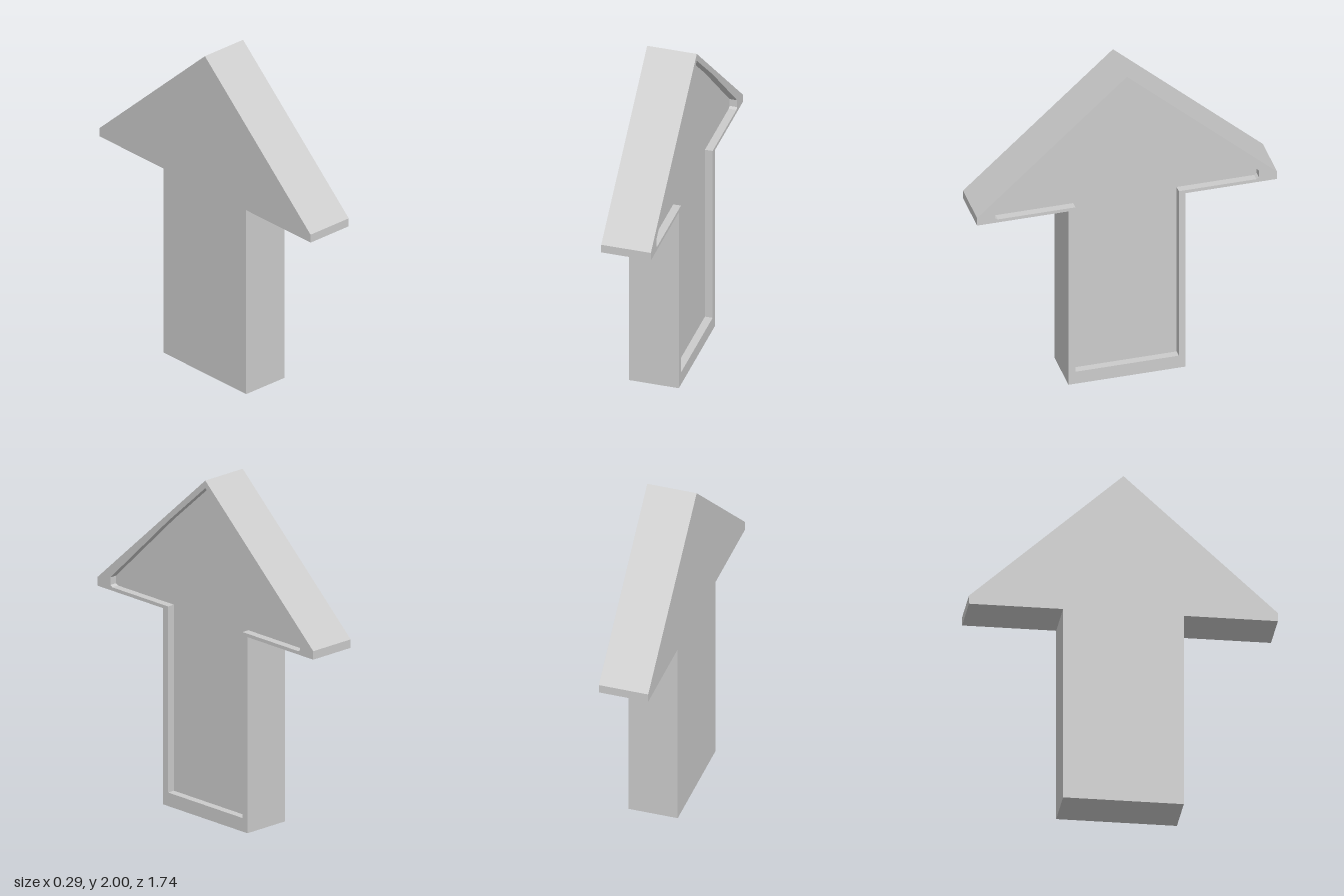
import * as THREE from 'three';

const HALF_THICKNESS = 0.145;
const RECESS_DEPTH = 0.045;

// Closed symmetric outline from its right half, listed bottom to apex
function mirrored(half) {
  const left = half.slice(0, -1).reverse().map(([x, y]) => [-x, y]);
  return [...half, ...left].map(([x, y]) => new THREE.Vector2(x, y));
}

const outline = mirrored([[0.34, 0], [0.34, 1.16], [0.87, 1.16], [0.87, 1.21], [0, 2]]);
const recess = mirrored([
  [0.3, 0.08], [0.3, 1.18], [0.75, 1.18], [0.765, 1.19], [0.765, 1.235], [0.3, 1.685], [0, 1.955],
]);

// Slab extruded along x between two planes
function slab(name, shape, x0, x1, material) {
  const geometry = new THREE.ExtrudeGeometry(shape, { depth: x1 - x0, bevelEnabled: false });
  geometry.rotateY(Math.PI / 2).translate(x0, 0, 0);
  const mesh = new THREE.Mesh(geometry, material);
  mesh.name = name;
  return mesh;
}

export function createModel() {
  const group = new THREE.Group();
  group.name = 'upArrow';
  const material = new THREE.MeshStandardMaterial({ color: 0xcccccc });
  const floor = HALF_THICKNESS - RECESS_DEPTH;

  // Solid arrow body, plain on its right-hand side (-x)
  group.add(slab('arrowBody', new THREE.Shape(outline), -HALF_THICKNESS, floor, material));

  // Raised border framing the shallow recess on the +x side
  const frame = new THREE.Shape(outline);
  frame.holes.push(new THREE.Path(recess));
  group.add(slab('raisedRim', frame, floor, HALF_THICKNESS, material));

  return group;
}
